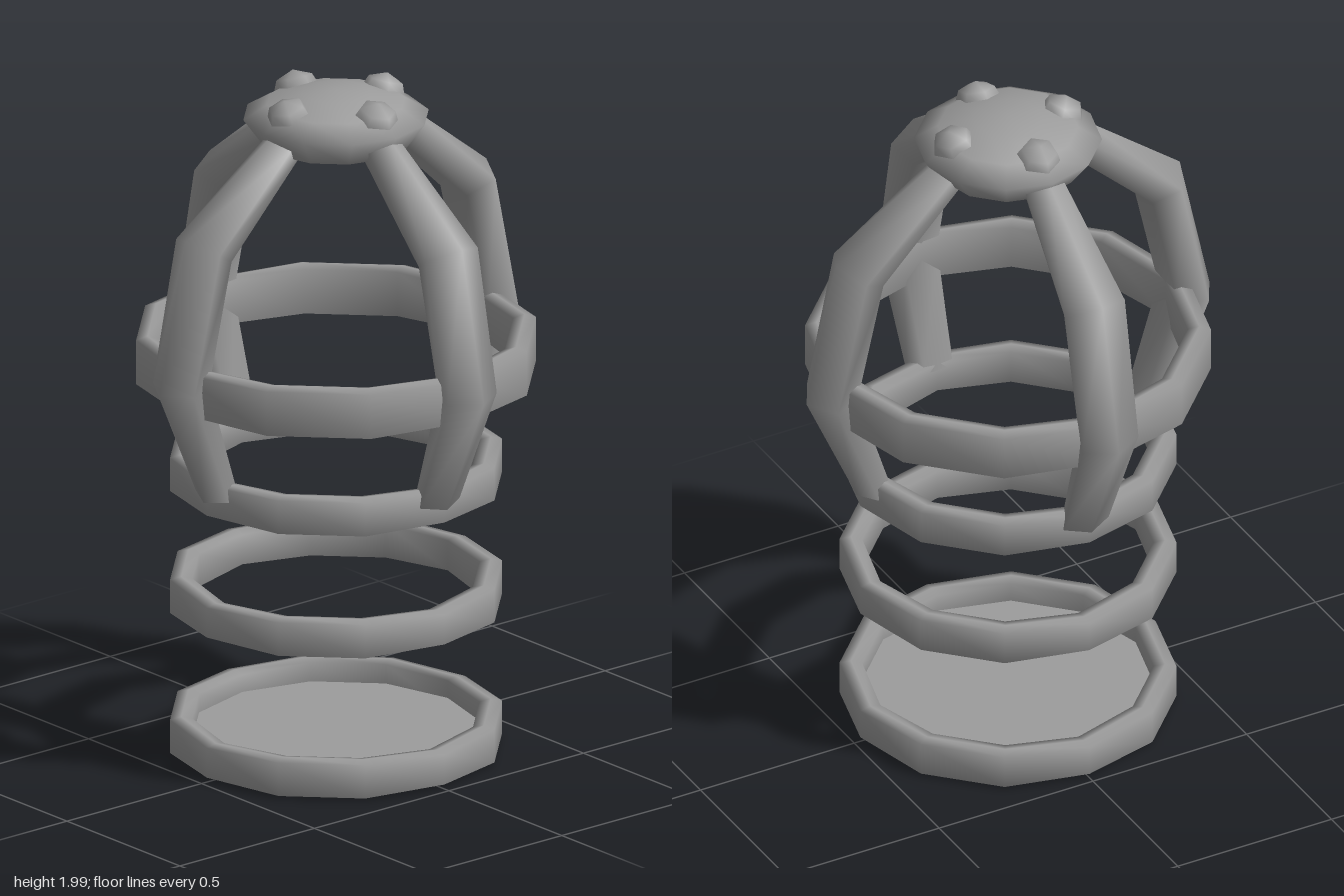
import * as THREE from 'three';
import { mergeVertices } from 'three/addons/utils/BufferGeometryUtils.js';

const material = new THREE.MeshStandardMaterial({ color: 0x9d9d9d, side: THREE.DoubleSide });

function addMesh(parent, name, geometry) {
  const mesh = new THREE.Mesh(geometry, material);
  mesh.name = name;
  parent.add(mesh);
  return mesh;
}

// Smooth skin between cross-sections; either a closed loop or a bar with end faces
function loft(sections, closed) {
  const n = sections[0].length, m = sections.length;
  const index = [];
  for (let j = 0; j < (closed ? m : m - 1); j++) {
    for (let i = 0; i < n; i++) {
      const k = (j + 1) % m, h = (i + 1) % n;
      const a = j * n + i, b = j * n + h, c = k * n + h, d = k * n + i;
      index.push(a, b, c, a, c, d);
    }
  }
  if (!closed) {
    const e = (m - 1) * n;
    for (let i = 1; i < n - 1; i++) index.push(0, i + 1, i, e, e + i, e + i + 1);
  }
  const geo = new THREE.BufferGeometry().setFromPoints(sections.flat());
  geo.setIndex(index);
  geo.computeVertexNormals();
  return geo;
}

// Twelve-sided band with softened edges, slightly taller on the diagonals
function ringGeometry(outer, inner, y, half) {
  const sections = [], middle = (outer + inner) / 2;
  for (let j = 0; j < 12; j++) {
    const a = j * Math.PI / 6;
    const h = half - 0.004 * Math.cos(4 * a), s = h * 0.86;
    sections.push([[outer, -s], [outer, s], [middle, h], [inner, s], [inner, -s], [middle, -h]].map(
      ([r, dy]) => new THREE.Vector3(r * Math.cos(a), y + dy, r * Math.sin(a))));
  }
  return loft(sections, true);
}

// Bent five-sided bar; nodes are [x, y, depth, width]
function strutGeometry(nodes) {
  const sections = nodes.map(([x, y, depth, width], j) => {
    const p = nodes[Math.max(j - 1, 0)], q = nodes[Math.min(j + 1, nodes.length - 1)];
    const t = new THREE.Vector2(q[0] - p[0], q[1] - p[1]).normalize();
    return Array.from({ length: 5 }, (_, i) => {
      const a = i * Math.PI * 2 / 5, d = depth * Math.cos(a);
      return new THREE.Vector3(x + t.y * d, y - t.x * d, -width * Math.sin(a));
    });
  });
  return loft(sections, false);
}

// Hollow mushroom-shaped cap, open underneath, with a tucked-in skirt
function capGeometry() {
  const profile = [[0.212, 1.838], [0.268, 1.915], [0.2, 1.956], [0.1, 1.984], [0, 1.994]]
    .map(([r, y]) => new THREE.Vector2(r, y));
  let geo = new THREE.LatheGeometry(profile, 12);
  geo.deleteAttribute('uv');
  geo.deleteAttribute('normal');
  geo = mergeVertices(geo);
  geo.computeVertexNormals();
  return geo;
}

export function createModel() {
  const group = new THREE.Group();

  // Stacked rings
  [['baseRing', 0.067], ['middleRing', 0.49], ['upperRing', 0.858]].forEach(([name, y]) =>
    addMesh(group, name, ringGeometry(0.48, 0.415, y, 0.056)));
  addMesh(group, 'cageRing', ringGeometry(0.578, 0.512, 1.203, 0.075));

  // Floor inside the base ring
  const floor = addMesh(group, 'floor', new THREE.CircleGeometry(0.45, 12));
  floor.rotation.x = -Math.PI / 2;
  floor.position.y = 0.06;

  // Four struts with a knob above each
  const strut = strutGeometry([
    [0.445, 0.872, 0.05, 0.078],
    [0.58, 1.22, 0.075, 0.096],
    [0.492, 1.618, 0.077, 0.102],
    [0.2, 1.865, 0.055, 0.065],
  ]);
  const knob = new THREE.SphereGeometry(0.074, 6, 4);
  for (let i = 0; i < 4; i++) {
    const side = new THREE.Group();
    side.name = 'strutWithKnob';
    side.rotation.y = i * Math.PI / 2;
    addMesh(side, 'strut', strut);
    const k = addMesh(side, 'knob', knob);
    k.position.set(0.17, 1.929, 0);
    k.rotation.z = -0.3;
    group.add(side);
  }

  addMesh(group, 'cap', capGeometry());
  return group;
}
